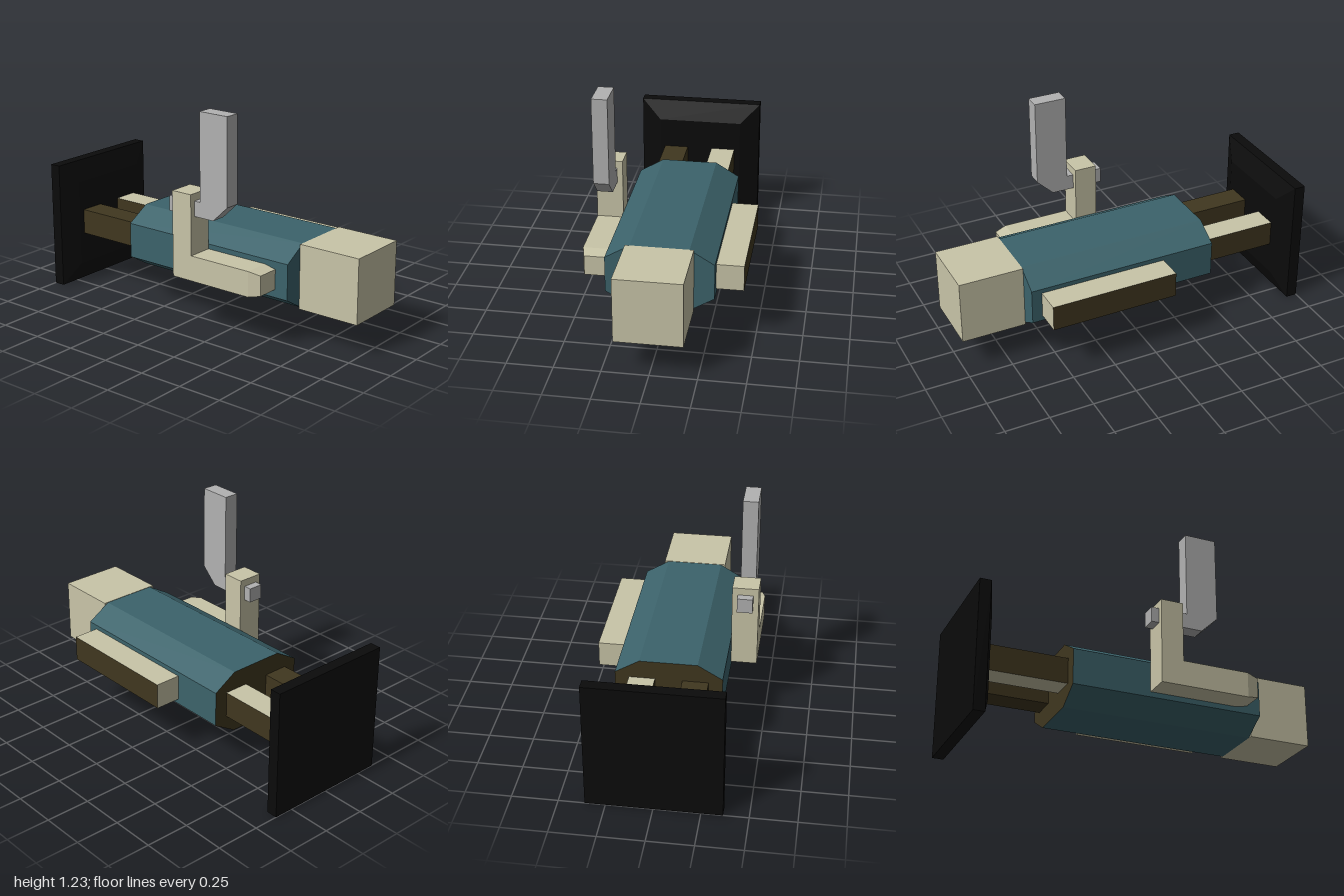
import * as THREE from 'three';

const mat = (name, color) => {
  const m = new THREE.MeshStandardMaterial({ color });
  m.name = name;
  return m;
};

export function createModel() {
  const model = new THREE.Group();
  model.name = 'model';
  const beige = mat('beige', 0xc9c5a8);
  const teal = mat('teal', 0x3c636b);
  const brown = mat('darkBrown', 0x40371f);
  const grey = mat('grey', 0xb2b2b2);
  const black = mat('black', 0x0b0b0b);

  const add = (name, geometry, material) => {
    const mesh = new THREE.Mesh(geometry, material);
    mesh.name = name;
    model.add(mesh);
    return mesh;
  };

  // Box from its limits on each axis
  const box = ([x0, x1], [y0, y1], [z0, z1]) =>
    new THREE.BoxGeometry(x1 - x0, y1 - y0, z1 - z0)
      .translate((x0 + x1) / 2, (y0 + y1) / 2, (z0 + z1) / 2);

  // Box whose front face has its own, smaller limits
  const taperedBox = (xs, ys, zs, frontXs, frontYs) => {
    const g = box(xs, ys, zs);
    const p = g.attributes.position;
    const midX = (xs[0] + xs[1]) / 2, midY = (ys[0] + ys[1]) / 2, midZ = (zs[0] + zs[1]) / 2;
    for (let i = 0; i < p.count; i++) {
      if (p.getZ(i) < midZ) continue;
      p.setX(i, frontXs[p.getX(i) > midX ? 1 : 0]);
      p.setY(i, frontYs[p.getY(i) > midY ? 1 : 0]);
    }
    g.computeVertexNormals();
    return g;
  };

  const extrude = (points, depth) =>
    new THREE.ExtrudeGeometry(
      new THREE.Shape(points.map(([x, y]) => new THREE.Vector2(x, y))),
      { depth, bevelEnabled: false });

  // Side profile in (z, y), extruded from x0 to x1
  const sideProfile = (points, x0, x1) =>
    extrude(points, x1 - x0).rotateY(-Math.PI / 2).translate(x1, 0, 0);

  // Eight-sided body with a brown back end
  const body = extrude([
    [-0.16, 0.185], [0.155, 0.185], [0.288, 0.265], [0.288, 0.465],
    [0.155, 0.545], [-0.16, 0.545], [-0.295, 0.465], [-0.295, 0.265],
  ], 1.093).translate(0, 0, -0.455);
  const caps = body.groups[0].count;
  const total = body.attributes.position.count;
  body.clearGroups();
  body.addGroup(0, caps / 2, 1);
  body.addGroup(caps / 2, total - caps / 2, 0);
  add('body', body, [teal, brown]);

  // Front block
  add('frontBlock', box([-0.185, 0.178], [0.185, 0.547], [0.638, 1]), beige);

  // Side rail with a brown outer face
  add('sideRail', box([0.288, 0.436], [0.295, 0.44], [-0.15, 0.58]),
    [brown, beige, beige, beige, beige, beige]);

  // Rear struts: face order is +x, -x, +y, -y, +z, -z
  const strutY = [0.295, 0.44], strutZ = [-0.895, -0.45];
  add('leftRearStrut', box([0.07, 0.212], strutY, strutZ),
    [brown, brown, beige, brown, brown, brown]);
  add('rightRearStrut', box([-0.22, -0.078], strutY, strutZ),
    [brown, brown, brown, beige, brown, brown]);

  // Square back plate with bevelled front
  const plateX = [-0.365, 0.36], plateY = [0, 0.73];
  add('backPlate', box(plateX, plateY, [-1, -0.937]), black);
  add('backPlateBevel',
    taperedBox(plateX, plateY, [-0.937, -0.892], [-0.25, 0.245], [0.115, 0.615]), black);

  // L-shaped bracket on the right, with a chamfered tip
  add('bracket', sideProfile([
    [-0.015, 0.295], [0.492, 0.295], [0.492, 0.437],
    [0.112, 0.437], [0.112, 0.777], [-0.015, 0.777],
  ], -0.44, -0.293), beige);
  add('bracketTip',
    taperedBox([-0.44, -0.293], [0.295, 0.437], [0.492, 0.56], [-0.422, -0.293], [0.31, 0.422]), beige);

  // Upright lever passing through the bracket
  add('lever', sideProfile([
    [-0.06, 0.65], [0.238, 0.65], [0.332, 0.74], [0.332, 1.225],
    [0.15, 1.225], [0.15, 0.735], [-0.06, 0.735],
  ], -0.41, -0.324), grey);

  return model;
}
